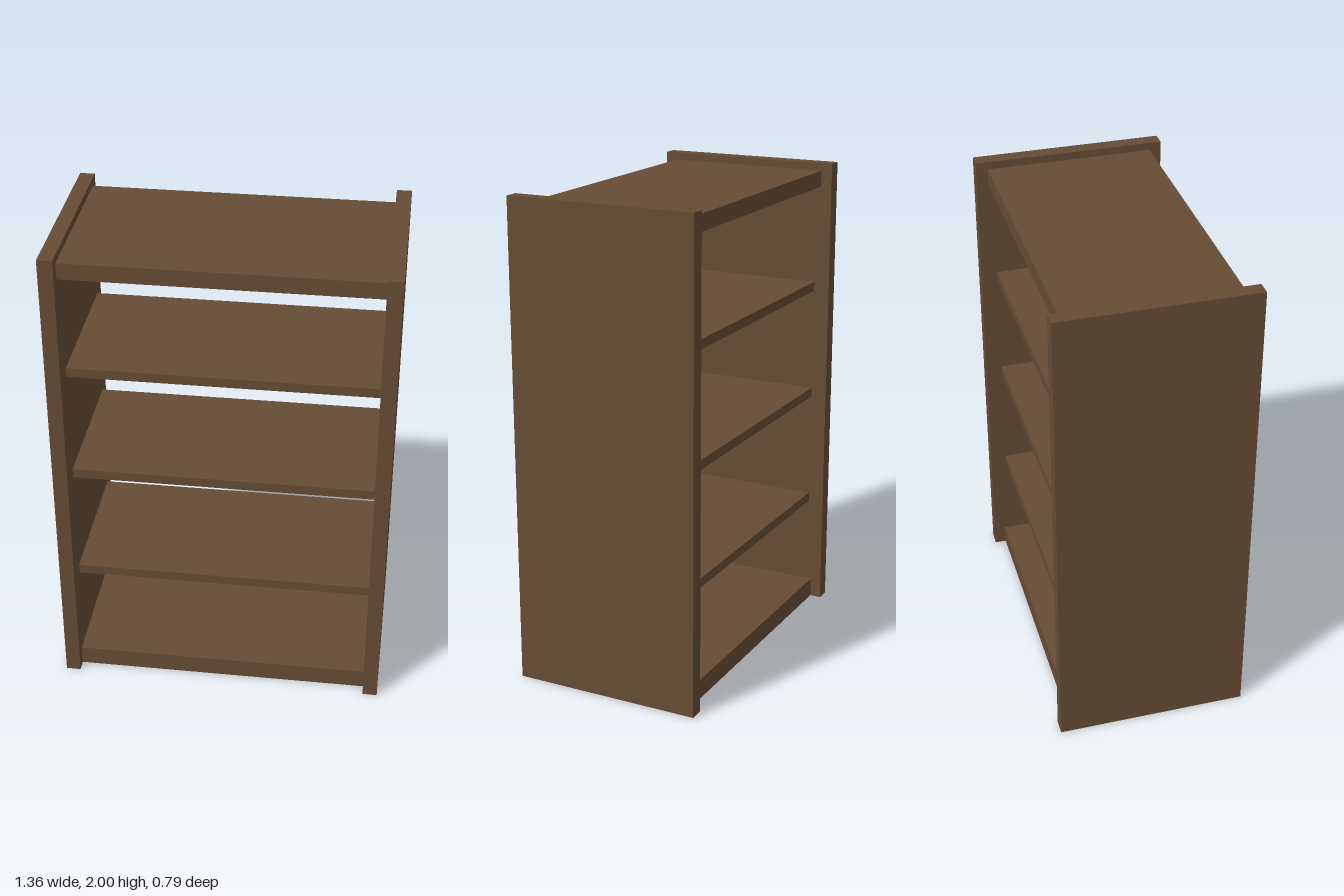
import * as THREE from 'three';

export function createModel() {
  const group = new THREE.Group();
  const wood = new THREE.MeshStandardMaterial({ color: 0x664c35 });
  wood.name = 'brown wood';

  // Board given by its extents on each axis
  function board(name, [x0, x1], [y0, y1], [z0, z1]) {
    const mesh = new THREE.Mesh(new THREE.BoxGeometry(x1 - x0, y1 - y0, z1 - z0), wood);
    mesh.position.set((x0 + x1) / 2, (y0 + y1) / 2, (z0 + z1) / 2);
    mesh.name = name;
    group.add(mesh);
  }

  const outer = 0.68, inner = 0.619, depth = 0.396;
  const span = [-inner, inner];

  // Side panels
  board('leftPanel', [inner, outer], [0, 2], [-depth, depth]);
  board('rightPanel', [-outer, -inner], [0, 2], [-depth, depth]);

  // Thick base and top boards, set in from the panel edges
  board('baseBoard', span, [0, 0.083], [-0.348, 0.348]);
  board('topBoard', span, [1.9, 1.968], [-0.348, 0.348]);

  // Thin shelves, set further back from the front
  [0.484, 0.98, 1.462].forEach((y, i) =>
    board(`shelf${i + 1}`, span, [y - 0.02, y + 0.02], [-0.328, 0.298]));

  return group;
}
